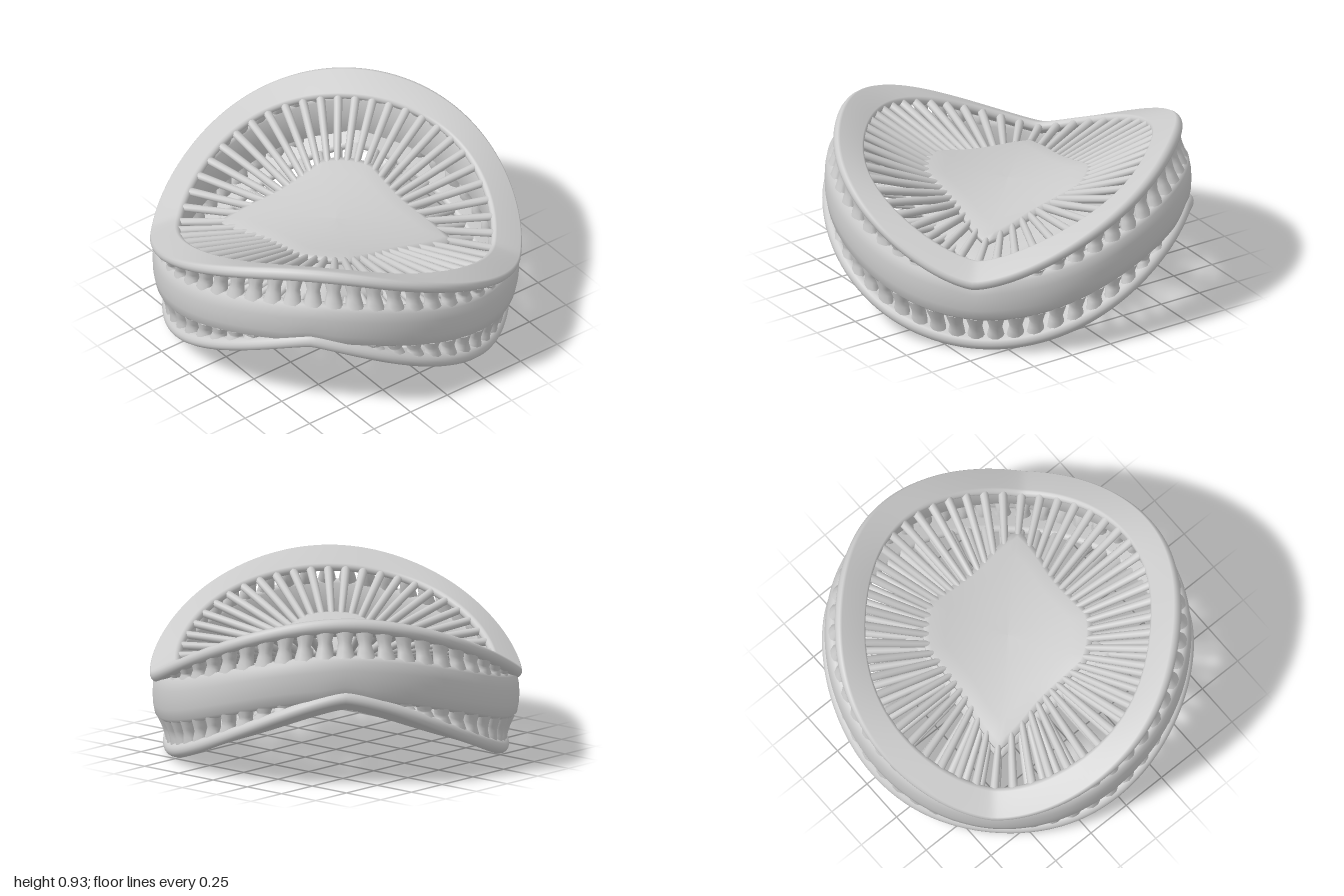
import * as THREE from 'three';
import { mergeGeometries } from 'three/addons/utils/BufferGeometryUtils.js';

const TAU = Math.PI * 2, HEIGHT = 0.935, RIBS = 52;

// Saddle wave around the ring: +1 at the two high corners, -1 at the two low ones
const wave = a => -Math.sin(2 * a);
const high = a => (1 + wave(a)) / 2;
const rimY = a => 0.47 + 0.465 * Math.pow(high(a), 0.69);
const rimR = a => 1 - 0.06 * Math.pow(high(a), 3) + 0.012 * Math.pow(1 - high(a), 5);
const innerRim = a => [rimR(a) - 0.14, rimY(a) - 0.01 - 0.055 * wave(a) - 0.03];
const bandTop = a => Math.min(0.595 + 0.14 * wave(a), rimY(a) - 0.04);
const polar = (a, r, y) => new THREE.Vector3(r * Math.cos(a), y, r * Math.sin(a));
const square = (a, half) => half / Math.max(Math.abs(Math.cos(a)), Math.abs(Math.sin(a)));

// Centre plates: a smooth leaf above, a creased square roof below
const leaf = {
  radius: a => Math.min(square(a, 0.41), wave(a) > 0 ? 0.46 : 1) + 0.06 * Math.pow(1 - high(a), 8),
  height(a, r) {
    const v2 = r * r * high(a);
    return 0.6 + 0.38 * v2 - 0.17 * (r * r - v2);
  },
};
const roof = {
  radius: a => square(a, 0.41),
  height(a, r) {
    const v = r * Math.sqrt(high(a));
    return 0.57 + 0.22 * v + 0.2 * v * v - 0.12 * (r * r - v * v);
  },
};

// Grid surface of nu sections with nv points each; rings close, faces turn outward
function loft(nu, nv, closedU, point) {
  const pos = [], index = [], mid = new THREE.Vector3();
  for (let i = 0; i < nu; i++) for (let j = 0; j < nv; j++) {
    const p = point(i, j);
    pos.push(p.x, p.y, p.z);
    mid.addScaledVector(p, 1 / (nu * nv));
  }
  for (let i = 0; i < (closedU ? nu : nu - 1); i++) for (let j = 0; j < nv; j++) {
    const k = ((i + 1) % nu) * nv, l = (j + 1) % nv;
    const a = i * nv + j, b = k + j, c = k + l, d = i * nv + l;
    index.push(a, b, c, a, c, d);
  }
  let volume = 0;
  const at = n => new THREE.Vector3().fromArray(pos, n * 3).sub(mid);
  for (let n = 0; n < index.length; n += 3)
    volume += at(index[n]).dot(at(index[n + 1]).cross(at(index[n + 2])));
  if (volume < 0) index.reverse();
  const g = new THREE.BufferGeometry();
  g.setAttribute('position', new THREE.Float32BufferAttribute(pos, 3));
  g.setIndex(index);
  g.computeVertexNormals();
  return g;
}

// Ring swept around the axis; profile(a) gives [r, y] points
const ring = (profile, count) => {
  const n = 208;
  const cuts = Array.from({ length: n }, (_, i) => profile(i / n * TAU));
  return loft(n, count, true, (i, j) => polar(i / n * TAU, ...cuts[i][j]));
};

// Oval rod in the radial plane at angle a, along [r, y, side half-width, depth half-width] stations
function rod(a, stations) {
  const curve = new THREE.CatmullRomCurve3(stations.map(s => new THREE.Vector3(s[0], s[1], 0)));
  const n = 7, sides = 10, side = new THREE.Vector3(-Math.sin(a), 0, Math.cos(a));
  return loft(n, sides, false, (i, j) => {
    const t = i / (n - 1), c = curve.getPoint(t), d = curve.getTangent(t);
    const f = t * (stations.length - 1), k = Math.min(Math.floor(f), stations.length - 2);
    const mix = m => THREE.MathUtils.lerp(stations[k][m], stations[k + 1][m], f - k);
    const b = j / sides * TAU, h = mix(3) * Math.sin(b);
    return polar(a, c.x - d.y * h, c.y + d.x * h).addScaledVector(side, mix(2) * Math.cos(b));
  });
}

// Rounded lip: a slim inner edge and a thicker rolled outer edge
function rimProfile(a) {
  const [ri, yi] = innerRim(a), ro = rimR(a) - 0.04, yo = rimY(a) - 0.04;
  const tilt = Math.atan2(yo - yi, ro - ri), pts = [];
  for (let j = 0; j < 16; j++) {
    const outer = j < 8, b = tilt - Math.PI / 2 + (j + (outer ? 0 : 1)) / 8 * Math.PI * 0.97;
    const q = outer ? 0.04 : 0.027;
    pts.push([(outer ? ro : ri) + q * Math.cos(b), (outer ? yo : yi) + q * Math.sin(b)]);
  }
  return pts;
}

// Slightly barrelled wall between the two rows of windows
function bandProfile(a) {
  const top = bandTop(a), bottom = HEIGHT - bandTop(-a);
  const y = t => THREE.MathUtils.lerp(bottom, top, t);
  return [[0.9, y(0.06)], [0.925, y(0)], [0.96, y(0)], [0.985, y(0.08)], [0.995, y(0.3)], [0.997, y(0.5)],
    [0.995, y(0.7)], [0.985, y(0.92)], [0.96, y(1)], [0.925, y(1)], [0.9, y(0.94)], [0.895, y(0.5)]];
}

// Thin plate: top skin, rounded edge, then under skin
function plateGeometry(plate) {
  const reach = [0, 0.25, 0.5, 0.75, 0.93, 1, 1, 0.93, 0.75, 0.5, 0.25, 0];
  const drop = [0, 0, 0, 0, 0.002, 0.015, 0.04, 0.055, 0.055, 0.055, 0.055, 0.055];
  return loft(reach.length, 96, false, (i, j) => {
    const a = j / 96 * TAU, r = reach[i] * plate.radius(a);
    return polar(a, r, plate.height(a, r) - drop[i]);
  });
}

export function createModel() {
  const model = new THREE.Group();
  model.name = 'saddleRing';
  const material = new THREE.MeshStandardMaterial({ color: 0xcccccc });
  const add = (parent, name, geometry) => {
    const mesh = new THREE.Mesh(geometry, material);
    mesh.name = name;
    parent.add(mesh);
  };

  // One face: lip, plate, spokes between them, and the pillars under the lip
  function addFace(name, plate) {
    const spokes = [], pillars = [];
    for (let i = 0; i < RIBS; i++) {
      const a = (i + 0.5) / RIBS * TAU;
      const [ri, yi] = innerRim(a), rp = plate.radius(a) - 0.03;
      spokes.push(rod(a, [[rp, plate.height(a, rp) - 0.028, 0.017, 0.024], [ri + 0.005, yi, 0.025, 0.021]]));
      // Inward-bowed pillar from the lip down to the band, where there is a gap
      const yTop = rimY(a) - 0.055, yLow = bandTop(a) - 0.02;
      if (yTop - yLow > 0.03) pillars.push(rod(a, [
        [rimR(a) - 0.05, yTop, 0.055, 0.035],
        [(rimR(a) + 0.95) / 2 - 0.04, (yTop + yLow) / 2, 0.036, 0.04],
        [0.945, yLow, 0.055, 0.035]]));
    }
    const face = new THREE.Group();
    face.name = name;
    add(face, 'rim', ring(rimProfile, 16));
    add(face, 'centrePlate', plateGeometry(plate));
    add(face, 'spokes', mergeGeometries(spokes));
    add(face, 'windowPillars', mergeGeometries(pillars));
    model.add(face);
    return face;
  }

  addFace('upperFace', leaf);
  // The lower face is turned over, so its highs and lows swap
  const lower = addFace('lowerFace', roof);
  lower.rotation.x = Math.PI;
  lower.position.y = HEIGHT;

  add(model, 'outerBand', ring(bandProfile, 12));
  return model;
}
